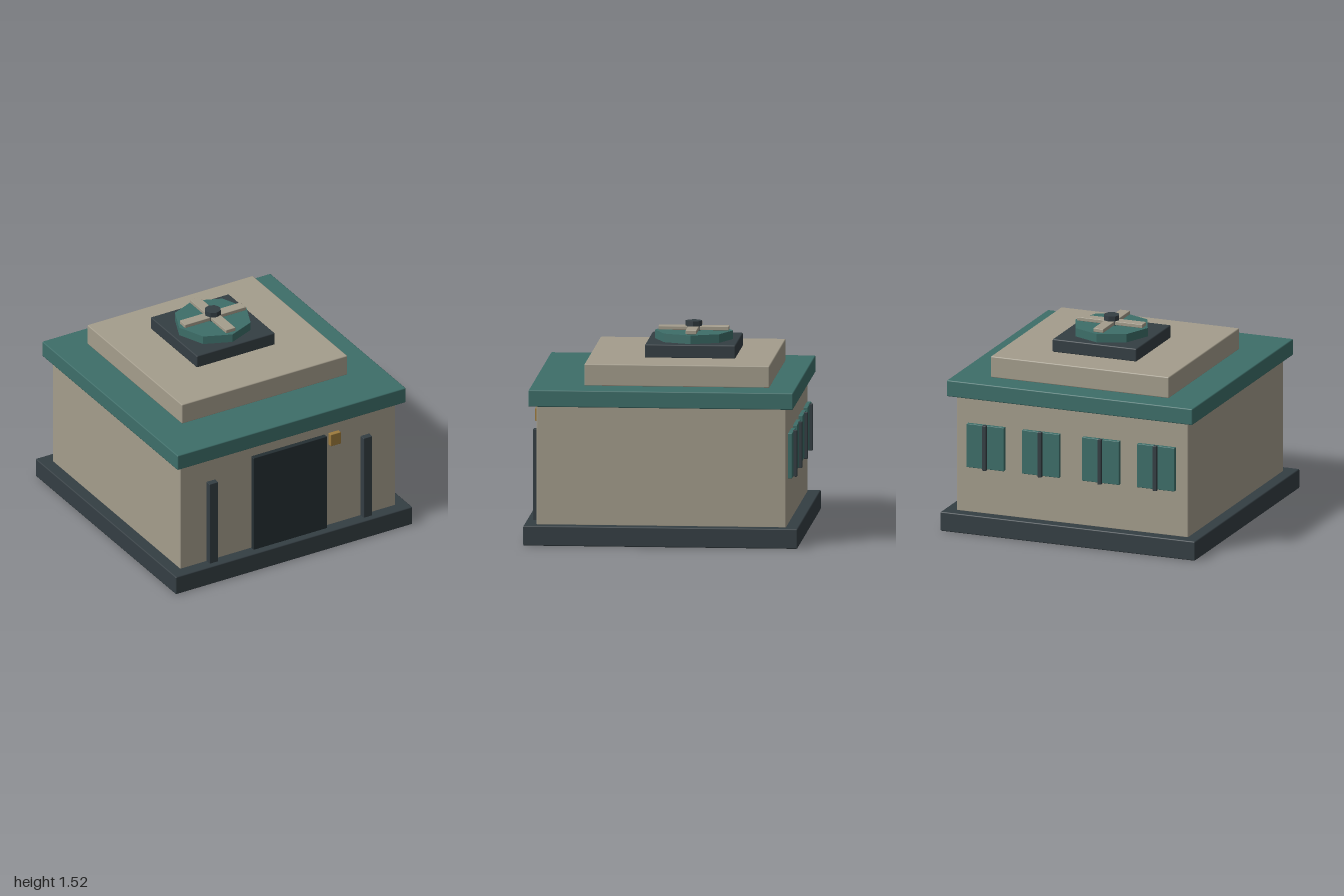
import * as THREE from 'three';
import { RoundedBoxGeometry } from 'three/addons/geometries/RoundedBoxGeometry.js';

const paint = (color) => new THREE.MeshStandardMaterial({ color });
const slate = paint(0x343e43);
const stone = paint(0xa49d8c);
const teal = paint(0x3d6e69);
const dark = paint(0x252f33);
const brass = paint(0x9c7a3c);
const faceted = paint(0x3d6e69);
const facetedSlate = paint(0x343e43);
faceted.flatShading = facetedSlate.flatShading = true;

// Softly bevelled box given by its [min, max] range on each axis
function block(parent, name, material, [x0, x1], [y0, y1], [z0, z1], bevel = 0.008) {
  const w = x1 - x0, h = y1 - y0, d = z1 - z0;
  const mesh = new THREE.Mesh(new RoundedBoxGeometry(w, h, d, 1, Math.min(bevel, w / 4, h / 4, d / 4)), material);
  mesh.name = name;
  mesh.position.set((x0 + x1) / 2, (y0 + y1) / 2, (z0 + z1) / 2);
  parent.add(mesh);
  return mesh;
}

// Eight-sided drum with corners on the axes
function drum(parent, name, material, radius, y0, y1) {
  const mesh = new THREE.Mesh(new THREE.CylinderGeometry(radius, radius, y1 - y0, 8), material);
  mesh.name = name;
  mesh.position.y = (y0 + y1) / 2;
  parent.add(mesh);
}

export function createModel() {
  const model = new THREE.Group();
  model.name = 'building';

  // Stacked main volumes
  block(model, 'foundation', slate, [-1, 1], [0, 0.145], [-1, 1]);
  block(model, 'walls', stone, [-0.91, 0.91], [0.14, 1.02], [-0.91, 0.91]);
  block(model, 'roofSlab', teal, [-0.965, 0.965], [1.015, 1.137], [-0.965, 0.965]);
  block(model, 'upperRoof', stone, [-0.7, 0.7], [1.135, 1.295], [-0.77, 0.58]);

  // Front: door, pilasters and wall lamp
  block(model, 'door', dark, [-0.31, 0.31], [0.14, 0.913], [0.9, 0.945], 0.004);
  for (const side of [-1, 1]) {
    const x = side * 0.651;
    block(model, side > 0 ? 'leftPilaster' : 'rightPilaster', slate,
      [x - 0.036, x + 0.036], [0.14, 0.81], [0.9, 0.955], 0.004);
  }
  block(model, 'wallLamp', brass, [0.332, 0.418], [0.83, 0.927], [0.925, 0.962], 0.004);

  // Back: row of windows with a centre mullion
  for (const x of [-0.67, -0.235, 0.235, 0.67]) {
    const win = new THREE.Group();
    win.name = 'window';
    win.position.x = x;
    block(win, 'pane', teal, [-0.147, 0.147], [0.49, 0.82], [-0.946, -0.914], 0.004);
    block(win, 'mullion', slate, [-0.015, 0.015], [0.484, 0.825], [-0.97, -0.94], 0.004);
    model.add(win);
  }

  // Rooftop ventilation fan
  const fan = new THREE.Group();
  fan.name = 'roofFan';
  fan.position.z = -0.16;
  block(fan, 'fanPlinth', slate, [-0.33, 0.33], [1.292, 1.39], [-0.33, 0.33]);
  drum(fan, 'fanHousing', faceted, 0.284, 1.385, 1.453);
  for (let i = 0; i < 2; i++) {
    block(fan, 'fanBlade', stone, [-0.257, 0.257], [1.458, 1.486], [-0.04, 0.04], 0.004)
      .rotation.y = i * Math.PI / 2;
  }
  drum(fan, 'fanHub', facetedSlate, 0.06, 1.455, 1.524);
  model.add(fan);

  return model;
}
